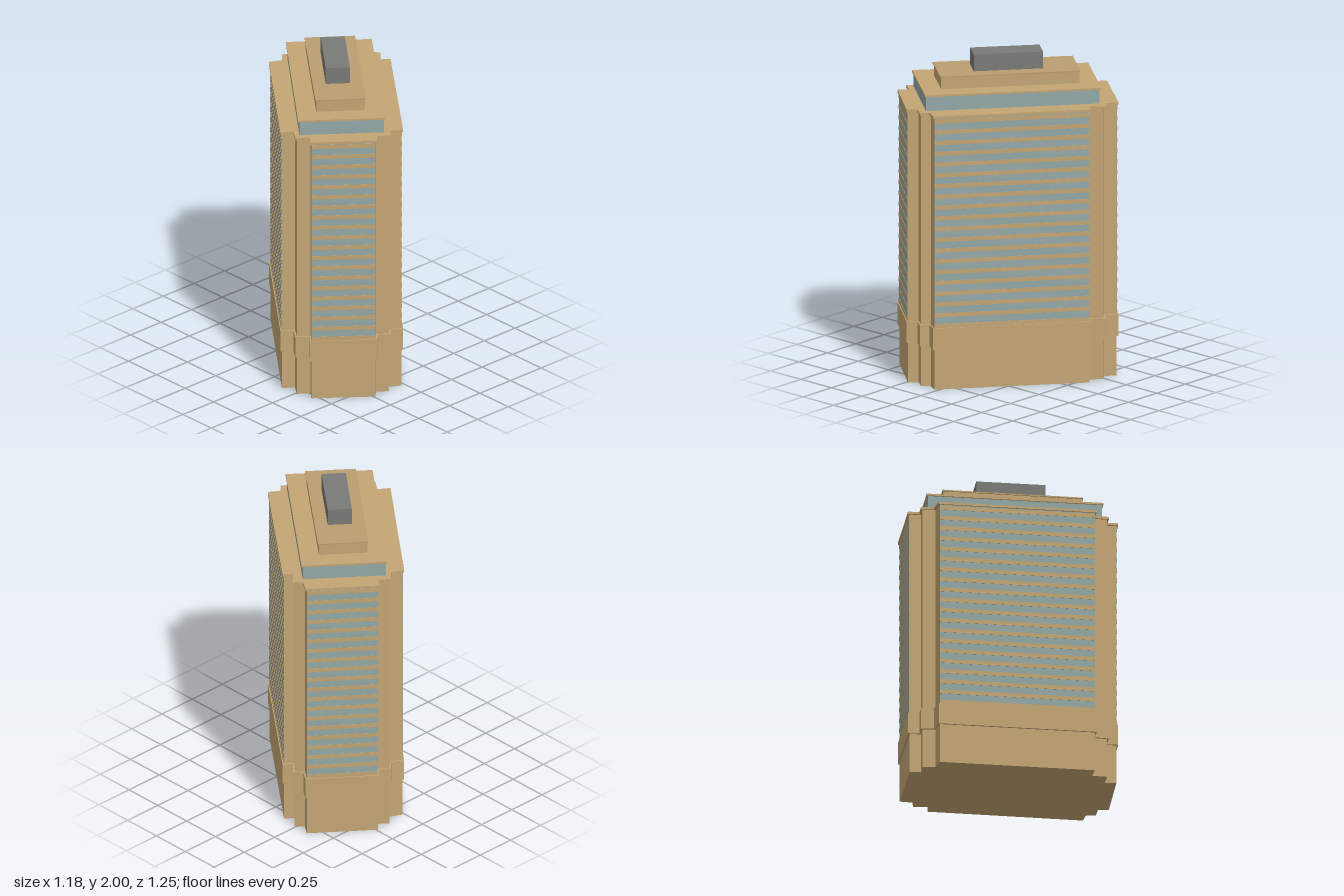
import * as THREE from 'three';

const paint = (color) => new THREE.MeshStandardMaterial({ color, flatShading: true });
const stone = paint(0xc4a674), roofStone = paint(0xbb9e70), glass = paint(0x93a9a7), grey = paint(0x7a7a76);

// Tower plan (x, z), clockwise seen from above, with stepped corners
const PLAN = [
  [0.01, -0.601], [0.083, -0.565], [0.139, -0.621], [0.196, -0.575], [0.239, -0.628],
  [0.591, -0.352], [0.545, -0.286], [0.588, -0.239], [0.522, -0.173], [0.571, -0.133],
  [-0.023, 0.618], [-0.09, 0.578], [-0.13, 0.621], [-0.193, 0.575], [-0.239, 0.621],
  [-0.552, 0.365], [-0.508, 0.312], [-0.575, 0.263], [-0.522, 0.189], [-0.588, 0.145],
];
const MAIN_EDGES = [4, 9, 14, 19]; // the four wide facades

// Rooftop tiers, smaller towards the top
const TIER1 = [[0.13, -0.58], [0.535, -0.26], [-0.13, 0.575], [-0.54, 0.25]];
const TIER2 = [[0.143, -0.43], [0.382, -0.242], [-0.147, 0.423], [-0.385, 0.235]];
const PENTHOUSE = [[0.073, -0.212], [0.186, -0.122], [-0.075, 0.206], [-0.19, 0.115]];

// Moves every edge of a plan inwards by d, with mitred corners
function inset(plan, d) {
  const n = plan.length;
  const normal = (i) => {
    const a = plan[i % n], b = plan[(i + 1) % n];
    const len = Math.hypot(b[0] - a[0], b[1] - a[1]);
    return [(b[1] - a[1]) / len, (a[0] - b[0]) / len];
  };
  return plan.map(([x, z], i) => {
    const p = normal(i + n - 1), q = normal(i);
    const k = d / (1 + p[0] * q[0] + p[1] * q[1]);
    return [x - (p[0] + q[0]) * k, z - (p[1] + q[1]) * k];
  });
}

// Upright prism over a plan from y0 to y1
function prism(name, plan, y0, y1, material) {
  const shape = new THREE.Shape(plan.map(([x, z]) => new THREE.Vector2(x, -z)));
  const geometry = new THREE.ExtrudeGeometry(shape, { depth: y1 - y0, bevelEnabled: false });
  geometry.rotateX(-Math.PI / 2);
  const mesh = new THREE.Mesh(geometry, material);
  mesh.name = name;
  mesh.position.y = y0;
  return mesh;
}

// Thin slab lying along a wall from a to b
function wallStrip(name, a, b, y0, y1, depth, material) {
  const dx = b[0] - a[0], dz = b[1] - a[1];
  const mesh = new THREE.Mesh(new THREE.BoxGeometry(Math.hypot(dx, dz), y1 - y0, depth), material);
  mesh.name = name;
  mesh.position.set((a[0] + b[0]) / 2, (y0 + y1) / 2, (a[1] + b[1]) / 2);
  mesh.rotation.y = Math.atan2(-dz, dx);
  return mesh;
}

export function createModel() {
  const model = new THREE.Group();
  model.name = 'officeTower';
  const walls = inset(PLAN, 0.01);

  // Base, podium band, shaft and cornice
  model.add(
    prism('base', walls, 0, 0.25, stone),
    prism('podiumBand', PLAN, 0.25, 0.385, stone),
    prism('shaft', walls, 0.385, 1.7, stone),
    prism('cornice', PLAN, 1.7, 1.715, stone),
  );

  // Glazed facades with a stone spandrel at each floor
  const floorHeight = 0.0675;
  for (const i of MAIN_EDGES) {
    const a = walls[i], b = walls[(i + 1) % walls.length];
    const facade = new THREE.Group();
    facade.name = 'facade';
    facade.add(wallStrip('glazing', a, b, 0.385, 1.7, 0.004, glass));
    for (let f = 0; f < 20; f++) {
      const y = 0.385 + f * floorHeight;
      facade.add(wallStrip('spandrel', a, b, y, Math.min(y + 0.026, 1.7), 0.008, stone));
    }
    model.add(facade);
  }

  // Stepped crown and rooftop plant room
  model.add(
    prism('glassTier', inset(TIER1, 0.008), 1.715, 1.803, glass),
    prism('glassTierRoof', TIER1, 1.803, 1.815, stone),
    prism('stoneTier', inset(TIER2, 0.006), 1.815, 1.887, stone),
    prism('stoneTierRoof', TIER2, 1.887, 1.895, roofStone),
    prism('plantRoom', PENTHOUSE, 1.895, 2, grey),
  );
  return model;
}
